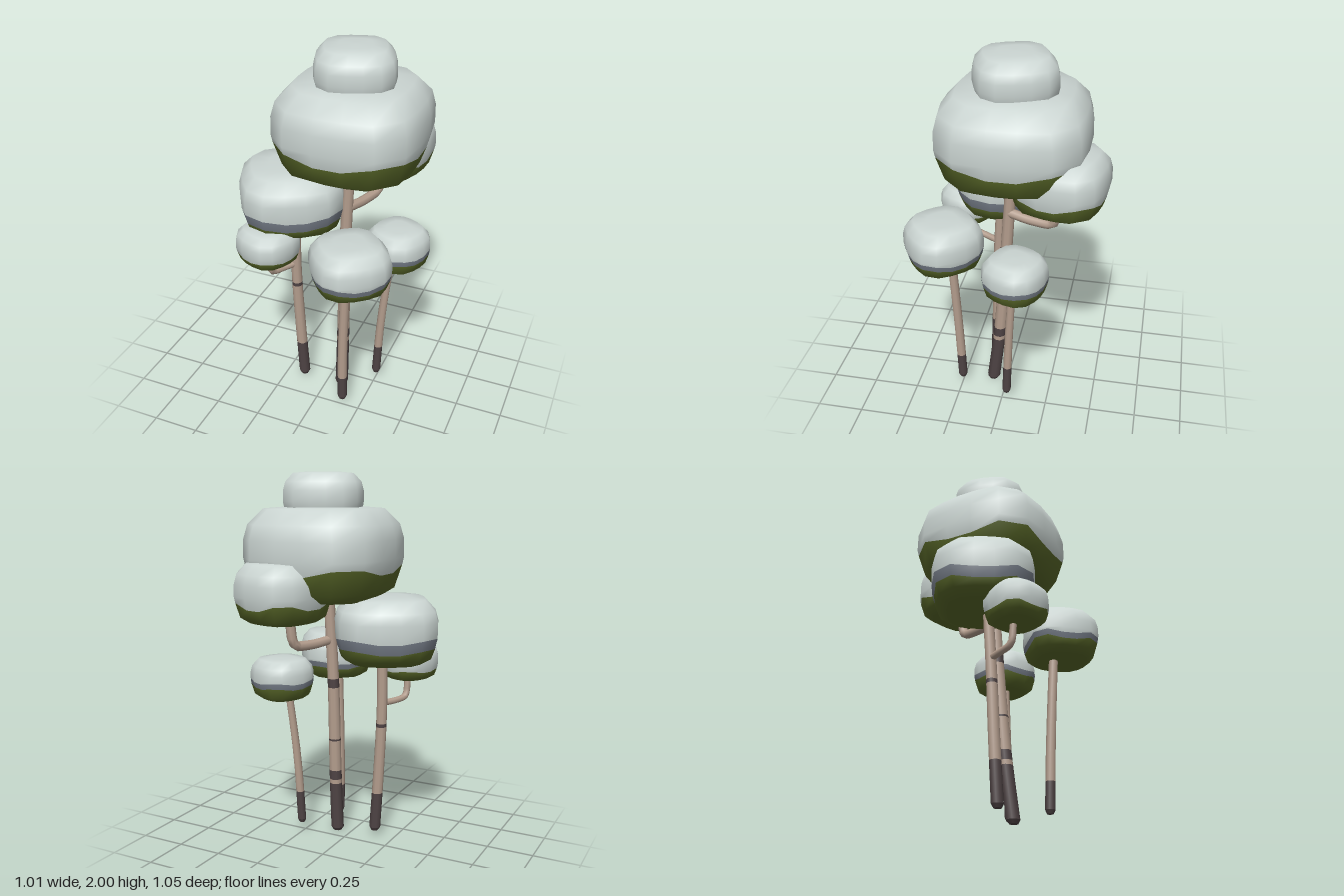
import * as THREE from 'three';

const mat = (name, color) => {
  const m = new THREE.MeshStandardMaterial({ color });
  m.name = name;
  return m;
};

// Half profile of a foliage clump: [radius, height], both as fractions
const PROFILE = [
  [0, -1], [0.68, -0.98], [0.88, -0.78], [0.96, -0.42], [1, -0.1],
  [0.995, 0.3], [0.94, 0.62], [0.75, 0.94], [0.4, 0.99], [0, 1],
];
const SIDES = 16;

function profileRadius(t) {
  for (let i = 1; i < PROFILE.length; i++) {
    const [r0, t0] = PROFILE[i - 1], [r1, t1] = PROFILE[i];
    if (t <= t1) return r0 + (r1 - r0) * (t - t0) / (t1 - t0);
  }
  return 0;
}

// Rounded-square clump fitted into min..max; colour changes at the given heights
function clump({ name, min, max, turn = 0, power = 2.8, levels = [], wave = 0.012, mats }) {
  const mid = min.map((v, i) => (v + max[i]) / 2);
  const half = min.map((v, i) => (max[i] - v) / 2);

  // turned superellipse outline, scaled to unit extents
  const rot = THREE.MathUtils.degToRad(turn);
  const outline = [];
  for (let i = 0; i < SIDES; i++) {
    const a = (i + 0.5) / SIDES * Math.PI * 2;
    const c = Math.cos(a), s = Math.sin(a);
    const r = Math.pow(Math.abs(c) ** power + Math.abs(s) ** power, -1 / power);
    outline.push([r * Math.cos(a + rot), r * Math.sin(a + rot), Math.cos(4 * a)]);
  }
  const ex = Math.max(...outline.map(p => Math.abs(p[0])));
  const ez = Math.max(...outline.map(p => Math.abs(p[1])));

  // profile rows plus one wavy row for every colour change
  const cuts = levels.map(y => (y - mid[1]) / half[1]);
  const rows = PROFILE.map(p => ({ t: p[1], w: 0 }))
    .filter(q => cuts.every(c => Math.abs(c - q.t) > 0.13 || Math.abs(q.t) > 0.9));
  cuts.forEach(t => rows.push({ t, w: wave / half[1] }));
  rows.sort((a, b) => a.t - b.t);

  const pos = [], index = [];
  for (const { t, w } of rows) {
    for (const [x, z, k] of outline) {
      const h = t - w * k;
      const r = profileRadius(h);
      pos.push(mid[0] + half[0] * r * x / ex, mid[1] + half[1] * h, mid[2] + half[2] * r * z / ez);
    }
  }
  const geo = new THREE.BufferGeometry();
  for (let j = 0; j < rows.length - 1; j++) {
    const start = index.length;
    for (let i = 0; i < SIDES; i++) {
      const n = (i + 1) % SIDES;
      const a = j * SIDES + i, c = j * SIDES + n, b = a + SIDES, d = c + SIDES;
      index.push(a, b, c, c, b, d);
    }
    const colour = cuts.filter(c => c <= rows[j].t + 1e-6).length;
    geo.addGroup(start, index.length - start, colour);
  }
  geo.setAttribute('position', new THREE.Float32BufferAttribute(pos, 3));
  geo.setIndex(index);
  geo.computeVertexNormals();
  const mesh = new THREE.Mesh(geo, mats);
  mesh.name = name;
  return mesh;
}

// Leaning trunk cut into bark bands; dark lists [from, to] heights
function trunk({ name, path, r0, r1, dark, bark, darkBark }) {
  const group = new THREE.Group();
  group.name = name;
  const curve = new THREE.CatmullRomCurve3(path.map(p => new THREE.Vector3(...p)));
  const pts = curve.getPoints(40);
  const bottom = pts[0].y, top = pts[pts.length - 1].y;
  const centre = y => {
    let i = 1;
    while (i < pts.length - 1 && pts[i].y < y) i++;
    return pts[i - 1].clone().lerp(pts[i], (y - pts[i - 1].y) / (pts[i].y - pts[i - 1].y));
  };
  const radius = y => r0 + (r1 - r0) * (y - bottom) / (top - bottom);
  const piece = (y0, y1, material, label, ra = radius(y0)) => {
    const geo = new THREE.CylinderGeometry(radius(y1), ra, y1 - y0, 10, 5);
    geo.translate(0, (y0 + y1) / 2, 0);
    const p = geo.attributes.position;
    for (let i = 0; i < p.count; i++) {
      const c = centre(p.getY(i));
      p.setX(i, p.getX(i) + c.x);
      p.setZ(i, p.getZ(i) + c.z);
    }
    const mesh = new THREE.Mesh(geo, material);
    mesh.name = label;
    group.add(mesh);
  };
  // tapered foot, then alternating bands
  piece(bottom, bottom + 0.02, darkBark, 'trunkFoot', r0 * 0.65);
  let y = bottom + 0.02;
  for (const [a, b] of dark) {
    if (a > y) piece(y, a, bark, 'bark');
    piece(Math.max(a, y), b, darkBark, 'darkBark');
    y = b;
  }
  piece(y, top, bark, 'bark');
  return group;
}

function branch(name, path, r, material) {
  const curve = new THREE.CatmullRomCurve3(path.map(p => new THREE.Vector3(...p)), false, 'catmullrom', 0.3);
  const mesh = new THREE.Mesh(new THREE.TubeGeometry(curve, 14, r, 8), material);
  mesh.name = name;
  return mesh;
}

export function createModel() {
  const model = new THREE.Group();
  model.name = 'snowyTrees';
  const snow = mat('snow', 0xcbd5d2);
  const shade = mat('snowEdge', 0x747b86);
  const leaf = mat('foliage', 0x5b6a2a);
  const bark = mat('bark', 0xb39d8d);
  const darkBark = mat('darkBark', 0x4e4344);

  const two = [leaf, snow], three = [leaf, shade, snow];

  // Foliage clumps with snow on top
  [
    { name: 'mainCrown', min: [-0.28, 1.35, -0.42], max: [0.465, 1.83, 0.33], power: 3.4, levels: [1.51], wave: 0.025, mats: two },
    { name: 'topSnowCap', min: [-0.125, 1.73, -0.265], max: [0.315, 2, 0.175], turn: -20, power: 3.2, mats: [snow] },
    { name: 'backCrown', min: [-0.03, 1.25, -0.53], max: [0.425, 1.56, -0.05], turn: 12, power: 3.2, levels: [1.345], wave: 0.02, mats: two },
    { name: 'rightCrown', min: [-0.51, 1.02, -0.23], max: [0.09, 1.37, 0.37], turn: -30, power: 3.2, levels: [1.105, 1.16], mats: three },
    { name: 'frontCrown', min: [0, 0.86, 0.1], max: [0.43, 1.125, 0.52], turn: -40, power: 3, levels: [0.93, 0.96], mats: three },
    { name: 'lowCrown', min: [-0.415, 0.895, 0.12], max: [-0.085, 1.095, 0.44], turn: 23, levels: [0.95], wave: 0.008, mats: two },
    { name: 'leftCrown', min: [0.165, 0.795, -0.26], max: [0.505, 1.02, 0.08], turn: 25, levels: [0.87, 0.9], wave: 0.008, mats: three },
  ].forEach(c => model.add(clump(c)));

  // Trunks
  [
    { name: 'mainTrunk', path: [[0.085, 0.005, 0.082], [0.077, 0.36, 0.043], [0.07, 0.9, 0.006], [0.08, 1.45, -0.03]],
      r0: 0.036, r1: 0.029, dark: [[0, 0.3], [0.325, 0.378], [0.555, 0.565], [0.86, 0.91]] },
    { name: 'rightTrunk', path: [[-0.135, 0.035, 0.11], [-0.16, 0.4, 0.105], [-0.178, 0.75, 0.1], [-0.185, 1.15, 0.08]],
      r0: 0.031, r1: 0.027, dark: [[0, 0.26], [0.645, 0.665]] },
    { name: 'frontTrunk', path: [[0.155, 0.05, 0.247], [0.16, 0.4, 0.26], [0.185, 0.95, 0.285]],
      r0: 0.026, r1: 0.024, dark: [[0, 0.21]] },
    { name: 'leftTrunk', path: [[0.255, 0.06, -0.028], [0.272, 0.45, -0.045], [0.315, 0.9, -0.075]],
      r0: 0.024, r1: 0.02, dark: [[0, 0.245]] },
  ].forEach(t => model.add(trunk({ ...t, bark, darkBark })));

  // Bent side branches
  model.add(branch('backBranch', [[0.078, 1.125, -0.01], [0.115, 1.115, -0.12], [0.15, 1.12, -0.235], [0.163, 1.16, -0.265], [0.175, 1.33, -0.275]], 0.026, bark));
  model.add(branch('lowBranch', [[-0.18, 0.78, 0.1], [-0.22, 0.782, 0.17], [-0.248, 0.79, 0.235], [-0.254, 0.82, 0.258], [-0.258, 0.95, 0.27]], 0.018, bark));

  return model;
}
